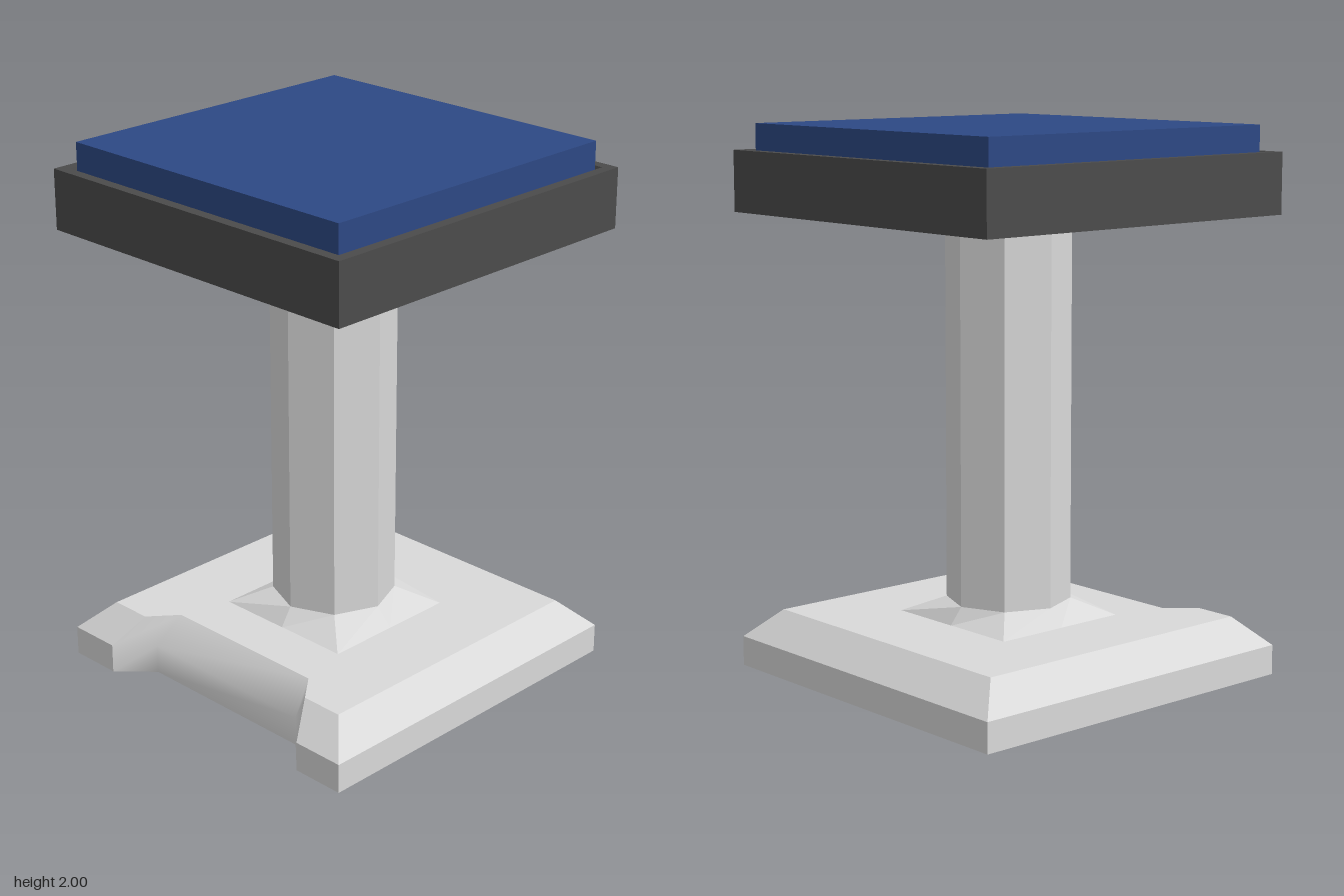
import * as THREE from 'three';

// Rings are lists of [x, y, z], running counter-clockwise seen from above.
// Joins edges between successive rings; keep(i) selects which edges are built.
function flatLoft(rings, { keep = () => true, bottom = true, top = true } = {}) {
  const pos = [];
  const tri = (a, b, c) => pos.push(...a, ...b, ...c);
  const n = rings[0].length;
  for (let r = 0; r < rings.length - 1; r++) {
    const lo = rings[r], hi = rings[r + 1];
    for (let i = 0; i < n; i++) {
      if (!keep(i)) continue;
      const j = (i + 1) % n;
      tri(lo[i], lo[j], hi[j]);
      tri(lo[i], hi[j], hi[i]);
    }
  }
  const cap = (ring, up) => {
    const outline = ring.map(([x, , z]) => new THREE.Vector2(x, -z));
    for (const [a, b, c] of THREE.ShapeUtils.triangulateShape(outline, [])) {
      if (up) tri(ring[a], ring[b], ring[c]);
      else tri(ring[a], ring[c], ring[b]);
    }
  };
  if (bottom) cap(rings[0], false);
  if (top) cap(rings[rings.length - 1], true);
  const g = new THREE.BufferGeometry();
  g.setAttribute('position', new THREE.Float32BufferAttribute(pos, 3));
  g.computeVertexNormals();
  return g;
}

// Open strip with shared vertices, so its normals are smooth
function smoothStrip(rings) {
  const n = rings[0].length, index = [];
  for (let r = 0; r < rings.length - 1; r++) {
    for (let i = 0; i < n - 1; i++) {
      const a = r * n + i, b = a + 1, c = b + n, d = a + n;
      index.push(a, b, c, a, c, d);
    }
  }
  const g = new THREE.BufferGeometry();
  g.setAttribute('position', new THREE.Float32BufferAttribute(rings.flat(2), 3));
  g.setIndex(index);
  g.computeVertexNormals();
  return g;
}

const square = (s, y) => [[-s, y, s], [s, y, s], [s, y, -s], [-s, y, -s]];

// Square outline with a shallow notch in its front edge
const notched = (s, y, outer, inner, depth) => [
  [-s, y, s], [-outer, y, s], [-inner, y, depth], [inner, y, depth],
  [outer, y, s], [s, y, s], [s, y, -s], [-s, y, -s],
];

export function createModel() {
  const model = new THREE.Group();
  const material = (name, color) => {
    const m = new THREE.MeshStandardMaterial({ color });
    m.name = name;
    return m;
  };
  const stone = material('pale grey', 0xd9d9d9);
  const frame = material('charcoal', 0x4b4b4b);
  const blue = material('deep blue', 0x2d4884);
  const add = (name, geometry, mat) => {
    const mesh = new THREE.Mesh(geometry, mat);
    mesh.name = name;
    model.add(mesh);
    return mesh;
  };

  // Bevelled foot with a softly shaded notch at the front
  const footRings = [
    notched(0.69, 0, 0.487, 0.365, 0.575),
    notched(0.69, 0.11, 0.487, 0.365, 0.575),
    notched(0.582, 0.215, 0.42, 0.335, 0.48),
  ];
  add('foot', flatLoft(footRings, { keep: (i) => i < 1 || i > 3 }), stone);
  add('footNotch', smoothStrip(footRings.map((r) => r.slice(1, 5))), stone);

  // Collar from a square up to the eight-sided post
  const cx = -0.008, cz = 0.005, radius = 0.227;
  const octagon = [], collarBase = [];
  for (let i = 0; i < 8; i++) {
    const a = -Math.PI / 2 + (i * Math.PI) / 4;
    const x = Math.sin(a), z = Math.cos(a);
    const k = 1 / Math.max(Math.abs(x), Math.abs(z));
    octagon.push([cx + x * radius, 0.278, cz + z * radius]);
    collarBase.push([x * k * 0.287, 0.214, 0.01 + z * k * 0.275]);
  }
  add('collar', flatLoft([collarBase, octagon], { bottom: false }), stone);

  // Post
  const postTop = octagon.map(([x, , z]) => [x, 1.685, z]);
  add('post', flatLoft([octagon, postTop]), stone);

  // Tray with a sloping recess
  add('tray', flatLoft([
    square(0.69, 1.683), square(0.69, 1.905), square(0.65, 1.905), square(0.63, 1.83),
  ]), frame);

  // Panel seated in the tray
  const panel = add('topPanel', new THREE.BoxGeometry(1.266, 0.18, 1.266), blue);
  panel.position.y = 1.91;

  return model;
}
